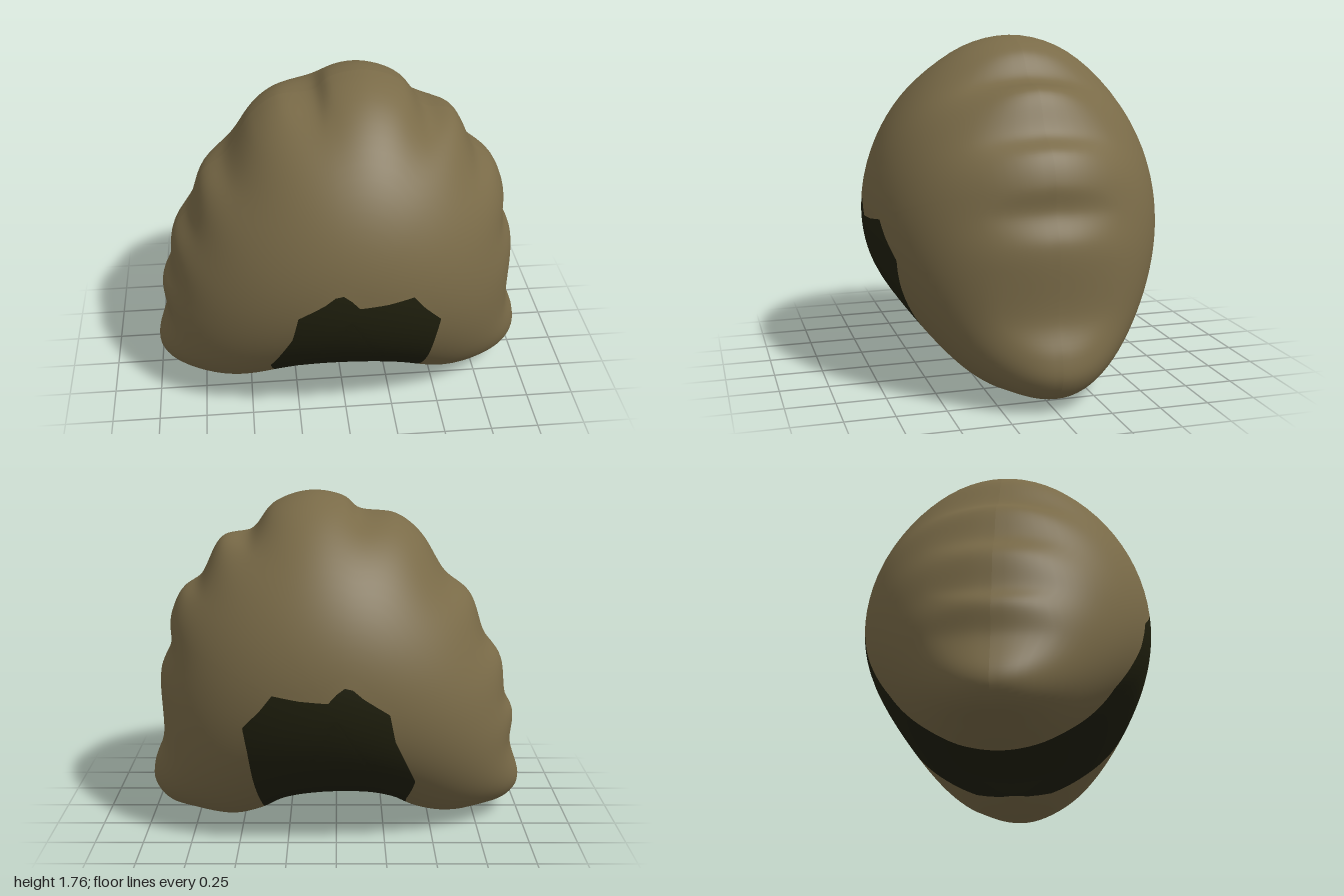
import * as THREE from 'three';

const CX = 0, CY = 0.75;            // hub from which all rays run
const RAYS = 360, INNER = 14, OUTER = 18, DEPTH = 0.765;

// Lumpy silhouette of the dome and its two feet, clockwise from the left foot
const OUTLINE = [
  [-1, .22], [-.945, .42], [-.955, .58], [-.91, .68], [-.88, .88], [-.79, 1.01], [-.71, 1.22], [-.58, 1.33],
  [-.44, 1.545], [-.31, 1.64], [-.12, 1.665], [-.04, 1.73], [.14, 1.76], [.33, 1.695], [.45, 1.555], [.6, 1.52],
  [.72, 1.315], [.82, 1.24], [.88, 1.1], [.88, .97], [.94, .82], [.94, .45], [.995, .29], [1, .18],
  [.92, .075], [.76, .04], [.55, .003], [.385, .05], [.32, .08], [.3, .11], [.17, .15], [-.18, .16],
  [-.31, .12], [-.355, .08], [-.6, .02], [-.79, .055], [-.925, .09], [-.99, .155],
];
// Dark doorway patch, open to the arch below
const PATCH = [
  [-.37, .13], [-.365, .2], [-.4, .36], [-.33, .53], [-.29, .62], [-.26, .77], [-.13, .86], [-.08, .905], [-.04, .915],
  [0, .885], [.04, .84], [.18, .85], [.31, .87], [.37, .79], [.46, .69], [.44, .56], [.42, .38], [.39, .18],
  [.385, .08], [.33, .03], [-.33, .03], [-.375, .09],
];

// Distance from the hub to a closed polygon for every ray
function rayTable(points) {
  return Array.from({ length: RAYS }, (_, i) => {
    const a = (i / RAYS) * Math.PI * 2, dx = Math.cos(a), dy = Math.sin(a);
    let best = 0;
    points.forEach(([px, py], k) => {
      const [qx, qy] = points[(k + 1) % points.length];
      const ex = qx - px, ey = qy - py, det = ex * dy - ey * dx;
      if (Math.abs(det) < 1e-9) return;
      const wx = px - CX, wy = py - CY;
      const r = (ex * wy - ey * wx) / det, s = (dx * wy - dy * wx) / det;
      if (r > 0 && s >= -1e-6 && s <= 1 + 1e-6) best = Math.max(best, r);
    });
    return best;
  });
}

// Soft inflation of the silhouette: a membrane relaxed on a grid
function inflate(radius) {
  const H = 0.01, W = 212, N = 190, X0 = -1.055, Y0 = -0.06;
  const u = new Float64Array(W * N), cells = [];
  for (let j = 1; j < N - 1; j++) for (let i = 1; i < W - 1; i++) {
    const x = X0 + i * H - CX, y = Y0 + j * H - CY;
    const f = ((Math.atan2(y, x) / (Math.PI * 2) + 1) % 1) * RAYS, k = Math.floor(f);
    const r = THREE.MathUtils.lerp(radius[k % RAYS], radius[(k + 1) % RAYS], f - k);
    if (Math.hypot(x, y) < r) cells.push(j * W + i);
  }
  for (let n = 0; n < 700; n++)
    for (const c of cells)
      u[c] += 1.96 * ((u[c - 1] + u[c + 1] + u[c - W] + u[c + W] + H * H) / 4 - u[c]);
  const max = cells.reduce((m, c) => Math.max(m, u[c]), 0);
  return (x, y) => {
    const gx = (x - X0) / H, gy = (y - Y0) / H, i = Math.floor(gx), j = Math.floor(gy), c = j * W + i;
    const low = THREE.MathUtils.lerp(u[c], u[c + 1], gx - i);
    const high = THREE.MathUtils.lerp(u[c + W], u[c + W + 1], gx - i);
    return THREE.MathUtils.lerp(low, high, gy - j) / max;
  };
}

// One half of the shell: inner rings are the patch, outer rings the body
function shellGeometry(radius, patch, height, side) {
  const pos = [], groups = [[], []], rings = INNER + OUTER + 1;
  for (let i = 0; i < RAYS; i++) {
    const a = (i / RAYS) * Math.PI * 2, R = radius[i], split = Math.min(1, patch[i] / R);
    const at = (t) => [CX + Math.cos(a) * R * t, CY + Math.sin(a) * R * t];
    for (let k = 0; k < rings; k++) {
      const t = k <= INNER
        ? split * Math.sin((k / INNER) * Math.PI / 2)
        : split + (1 - split) * Math.sin(((k - INNER) / OUTER) * Math.PI / 2);
      const EDGE = 0.94; // close to the rim the membrane falls off evenly
      const h = t > EDGE ? height(...at(EDGE)) * (1 - t) / (1 - EDGE) : height(...at(t));
      pos.push(...at(t), side * DEPTH * Math.sqrt(Math.max(0, h)));
    }
  }
  for (let i = 0; i < RAYS; i++) {
    const n = (i + 1) % RAYS;
    const closed = patch[i] >= radius[i] && patch[n] >= radius[n];
    for (let k = 0; k < rings - 1; k++) {
      if (k >= INNER && closed) continue;
      const a = i * rings + k, b = a + 1, c = n * rings + k + 1, d = n * rings + k;
      groups[k < INNER ? 0 : 1].push(...(side > 0 ? [a, b, c, a, c, d] : [a, c, b, a, d, c]));
    }
  }
  const geo = new THREE.BufferGeometry();
  geo.setAttribute('position', new THREE.Float32BufferAttribute(pos, 3));
  geo.setIndex([...groups[0], ...groups[1]]);
  geo.addGroup(0, groups[0].length, 0);
  geo.addGroup(groups[0].length, groups[1].length, 1);
  geo.computeVertexNormals();
  return geo;
}

export function createModel() {
  const doorwayDark = new THREE.MeshStandardMaterial({ color: 0x20200e });
  doorwayDark.name = 'doorwayDark';
  const earthBrown = new THREE.MeshStandardMaterial({ color: 0x7a6b48 });
  earthBrown.name = 'earthBrown';

  const curve = new THREE.CatmullRomCurve3(OUTLINE.map(([x, y]) => new THREE.Vector3(x, y, 0)), true, 'centripetal');
  const radius = rayTable(curve.getPoints(400).map((p) => [p.x, p.y]));
  const patch = rayTable(PATCH);
  const height = inflate(radius);

  const model = new THREE.Group();
  model.name = 'roundedMound';
  for (const [name, side] of [['frontShell', 1], ['backShell', -1]]) {
    const mesh = new THREE.Mesh(shellGeometry(radius, patch, height, side), [doorwayDark, earthBrown]);
    mesh.name = name;
    model.add(mesh);
  }
  return model;
}
